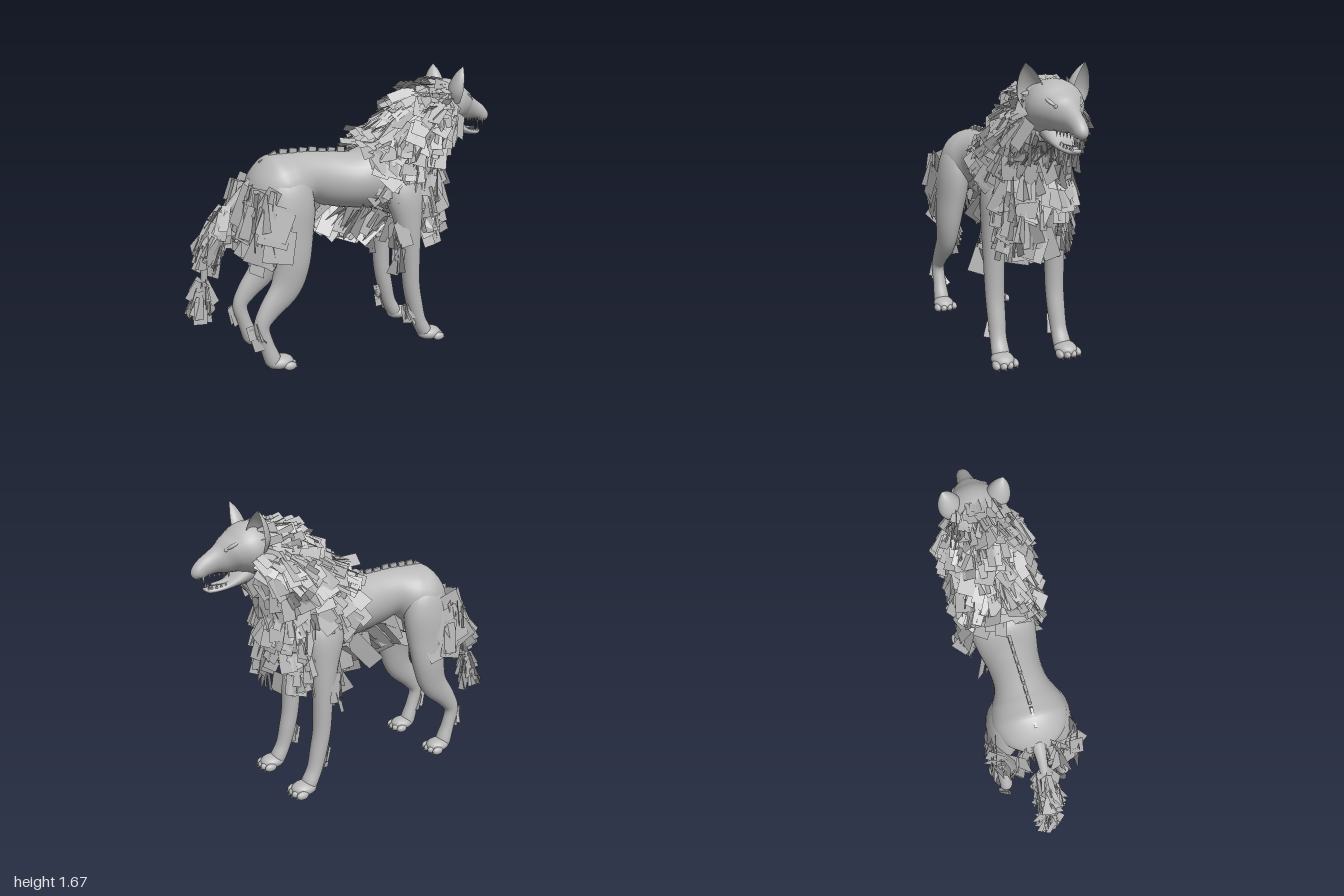
import * as THREE from 'three';

const grey = new THREE.MeshStandardMaterial({ color: 0xb8b8b8, side: THREE.DoubleSide });
grey.name = 'grey';

let seed = 7;
const rand = () => (seed = (seed * 16807) % 2147483647) / 2147483647;
const spread = (r) => (rand() * 2 - 1) * r;

// Rows are [x, y, z, half depth, half width] along a path in the side plane
function sampler(rows, s = 1) {
  const path = new THREE.CatmullRomCurve3(rows.map((r) => new THREE.Vector3(r[0], r[1], r[2] * s)), false, 'catmullrom');
  const size = new THREE.CatmullRomCurve3(rows.map((r) => new THREE.Vector3(r[3], r[4], 0)), false, 'catmullrom');
  return (t, angle) => {
    const c = path.getPoint(t), q = size.getPoint(t), d = path.getTangent(t);
    const l = Math.hypot(d.x, d.y) || 1;
    const n = new THREE.Vector3(-d.y / l, d.x / l, 0);
    const p = c.clone().addScaledVector(n, Math.cos(angle) * q.x);
    p.z += Math.sin(angle) * q.y;
    const out = n.multiplyScalar(Math.cos(angle) * q.y);
    out.z += Math.sin(angle) * q.x;
    return { c, p, out: out.normalize() };
  };
}

function toMesh(name, pos, idx, parent) {
  const g = new THREE.BufferGeometry();
  g.setAttribute('position', new THREE.Float32BufferAttribute(pos, 3));
  g.setIndex(idx);
  g.computeVertexNormals();
  const m = new THREE.Mesh(g, grey);
  m.name = name;
  parent.add(m);
}

// Smooth closed body through oval cross-sections
function loft(parent, name, rows, s = 1, sides = 24) {
  const at = sampler(rows, s), steps = (rows.length - 1) * 5, pos = [], idx = [];
  for (let i = 0; i <= steps; i++)
    for (let j = 0; j < sides; j++) pos.push(...at(i / steps, (j / sides) * Math.PI * 2).p.toArray());
  const first = pos.length / 3;
  pos.push(...at(0, 0).c.toArray(), ...at(1, 0).c.toArray());
  for (let j = 0; j < sides; j++) {
    const k = (j + 1) % sides, e = steps * sides;
    for (let i = 0; i < steps; i++) {
      const a = i * sides + j, b = i * sides + k;
      idx.push(a, b, a + sides, b, b + sides, a + sides);
    }
    idx.push(first, k, j, first + 1, e + j, e + k);
  }
  toMesh(name, pos, idx, parent);
}

// Flat fur cards rooted on a guide body, combed along a flow direction
function fur(parent, name, rows, o) {
  const at = sampler(rows, o.s || 1), pos = [], idx = [];
  const flow = new THREE.Vector3(...o.flow).normalize();
  for (let i = 0; i < o.count; i++) {
    const { p, out } = at(rand(), (o.mid || 0) + spread(o.arc || Math.PI));
    const dir = flow.clone().addScaledVector(out, -flow.dot(out)).normalize();
    dir.applyAxisAngle(out, spread(0.5)).addScaledVector(out, o.lift * (0.4 + rand())).normalize();
    const side = new THREE.Vector3().crossVectors(out, dir).normalize().applyAxisAngle(dir, spread(o.twist || 0.7));
    const w = o.width * (0.35 + rand() * 0.3), len = o.length * (0.65 + rand() * 0.55);
    const root = p.addScaledVector(out, -0.005), tip = root.clone().addScaledVector(dir, len);
    for (const [c, k] of [[root, -w], [root, w], [tip, w], [tip, -w]])
      pos.push(...c.clone().addScaledVector(side, k).toArray());
    idx.push(i * 4, i * 4 + 1, i * 4 + 2, i * 4, i * 4 + 2, i * 4 + 3);
  }
  toMesh(name, pos, idx, parent);
}

function put(parent, name, geo, p, scale = [1, 1, 1], rot = [0, 0, 0]) {
  const m = new THREE.Mesh(geo, grey);
  m.name = name;
  m.position.set(...p);
  m.scale.set(...scale);
  m.rotation.set(...rot);
  parent.add(m);
}
const ball = new THREE.SphereGeometry(1, 16, 12);
const spike = new THREE.ConeGeometry(1, 1, 6);

// Paw with four toes and claws
function paw(parent, x, z) {
  put(parent, 'paw', ball, [x, 0.043, z], [0.078, 0.042, 0.064]);
  for (let i = 0; i < 4; i++) {
    const k = i - 1.5, tx = x + 0.058 - Math.abs(k) * 0.012, tz = z + k * 0.037;
    put(parent, 'toe', ball, [tx, 0.028, tz], [0.038, 0.025, 0.021]);
    put(parent, 'claw', spike, [tx + 0.04, 0.016, tz], [0.008, 0.026, 0.008], [0, 0, -1.9]);
  }
}

export function createModel() {
  const wolf = new THREE.Group();
  wolf.name = 'wolf';

  // Torso and neck
  loft(wolf, 'torso', [[-0.62, 0.97, 0, 0.03, 0.04], [-0.54, 0.985, 0, 0.135, 0.16], [-0.43, 1.01, 0, 0.195, 0.215],
    [-0.33, 1.04, 0, 0.172, 0.2], [-0.23, 1.06, 0, 0.148, 0.152], [-0.1, 1.04, 0, 0.16, 0.15], [0.05, 1.02, 0, 0.17, 0.178],
    [0.2, 1.03, 0, 0.205, 0.2], [0.35, 1.02, 0, 0.24, 0.2], [0.47, 0.97, 0, 0.21, 0.18], [0.59, 0.93, 0, 0.1, 0.09]], 1, 32);
  loft(wolf, 'neck', [[0.25, 1.06, 0, 0.17, 0.16], [0.4, 1.19, 0, 0.19, 0.17], [0.52, 1.32, 0, 0.17, 0.16],
    [0.62, 1.41, 0, 0.14, 0.14]]);

  // Bony ridge along the back
  const ridge = new THREE.BoxGeometry(0.045, 0.035, 0.016);
  for (let i = 0; i < 9; i++)
    put(wolf, 'spineBump', ridge, [-0.5 + i * 0.06, [1.165, 1.2][i] || 1.215 - (i > 5) * 0.012, 0], [1, 1, 1], [0, 0, i < 2 ? 0.5 : -0.15]);

  // Head with open jaw
  const head = new THREE.Group();
  head.name = 'head';
  wolf.add(head);
  loft(head, 'skull', [[0.55, 1.42, 0, 0.1, 0.1], [0.63, 1.44, 0, 0.14, 0.145], [0.71, 1.445, 0, 0.143, 0.155],
    [0.78, 1.432, 0, 0.108, 0.125], [0.835, 1.413, 0, 0.086, 0.082], [0.89, 1.397, 0, 0.063, 0.054],
    [0.945, 1.373, 0, 0.05, 0.043], [0.982, 1.343, 0, 0.038, 0.036], [0.994, 1.32, 0, 0.012, 0.015]]);
  loft(head, 'lowerJaw', [[0.7, 1.33, 0, 0.06, 0.085], [0.78, 1.288, 0, 0.035, 0.07], [0.85, 1.26, 0, 0.02, 0.052],
    [0.92, 1.25, 0, 0.016, 0.036], [0.95, 1.26, 0, 0.008, 0.018]]);
  loft(head, 'tongue', [[0.76, 1.31, 0, 0.012, 0.035], [0.84, 1.285, 0, 0.01, 0.03], [0.91, 1.278, 0, 0.005, 0.016]], 1, 12);
  put(head, 'nose', ball, [0.97, 1.37, 0], [0.024, 0.02, 0.03]);

  const earProfile = new THREE.SplineCurve([[0.055, 0], [0.072, 0.06], [0.062, 0.12], [0.036, 0.175], [0.002, 0.215]]
    .map((p) => new THREE.Vector2(...p))).getPoints(12);
  const earShell = new THREE.LatheGeometry(earProfile, 18, Math.PI * 0.9, Math.PI * 1.2);
  for (const s of [1, -1]) {
    put(head, 'ear', earShell, [0.69, 1.46, s * 0.118], [0.85, 1, 0.95], [s * 0.2, -s * 0.4, -0.08]);
    put(head, 'eye', ball, [0.838, 1.463, s * 0.064], [0.014, 0.011, 0.014]);
    put(head, 'brow', ball, [0.805, 1.484, s * 0.068], [0.045, 0.013, 0.032], [0, s * 0.5, -0.5]);
    put(head, 'upperFang', spike, [0.96, 1.305, s * 0.026], [0.008, 0.055, 0.008], [Math.PI, 0, 0]);
    put(head, 'lowerFang', spike, [0.93, 1.28, s * 0.022], [0.007, 0.045, 0.007]);
    for (let i = 0; i < 5; i++) {
      const x = 0.83 + i * 0.024;
      put(head, 'upperTooth', spike, [x, 1.33 - i * 0.001, s * (0.054 - i * 0.006)], [0.007, 0.028, 0.006], [Math.PI, 0, 0]);
      put(head, 'lowerTooth', spike, [x - 0.01, 1.28 - i * 0.002, s * (0.047 - i * 0.005)], [0.007, 0.022, 0.006]);
    }
  }

  for (const s of [1, -1]) {
    // Legs
    loft(wolf, 'frontLeg', [[0.3, 1.12, 0.11, 0.08, 0.06], [0.32, 0.95, 0.155, 0.12, 0.085], [0.34, 0.76, 0.18, 0.085, 0.07],
      [0.355, 0.56, 0.187, 0.06, 0.06], [0.365, 0.38, 0.187, 0.053, 0.055], [0.39, 0.25, 0.187, 0.05, 0.052],
      [0.42, 0.14, 0.19, 0.045, 0.048], [0.46, 0.06, 0.192, 0.045, 0.052], [0.475, 0.02, 0.192, 0.03, 0.04]], s);
    loft(wolf, 'hindLeg', [[-0.42, 1.17, 0.07, 0.04, 0.04], [-0.41, 1.07, 0.12, 0.12, 0.085], [-0.4, 0.94, 0.145, 0.145, 0.097],
      [-0.41, 0.78, 0.16, 0.14, 0.09], [-0.41, 0.62, 0.18, 0.11, 0.075], [-0.45, 0.48, 0.185, 0.092, 0.058],
      [-0.55, 0.36, 0.188, 0.064, 0.045], [-0.6, 0.27, 0.19, 0.046, 0.04], [-0.575, 0.16, 0.19, 0.042, 0.042],
      [-0.54, 0.06, 0.19, 0.048, 0.05], [-0.53, 0.02, 0.19, 0.03, 0.04]], s);
    paw(wolf, 0.495, s * 0.196);
    paw(wolf, -0.495, s * 0.192);

    // Fur on the limbs
    fur(wolf, 'thighFur', [[-0.49, 1.05, 0.12, 0.12, 0.1], [-0.5, 0.92, 0.145, 0.14, 0.105], [-0.47, 0.77, 0.16, 0.12, 0.088]],
      { s, count: 44, flow: [-0.2, -1, 0], lift: 0.08, length: 0.19, width: 0.16, twist: 0.3, mid: Math.PI, arc: 2 });
    fur(wolf, 'elbowFur', [[0.3, 0.78, 0.18, 0.05, 0.055], [0.31, 0.6, 0.185, 0.045, 0.05]],
      { s, count: 12, flow: [-0.1, -1, 0], lift: 0.1, length: 0.15, width: 0.1, mid: Math.PI, arc: 1.2 });
    fur(wolf, 'hockFur', [[-0.64, 0.29, 0.19, 0.03, 0.02], [-0.61, 0.21, 0.19, 0.035, 0.02]],
      { s, count: 8, flow: [0.5, -1, 0], lift: 0.1, length: 0.1, width: 0.05, twist: 1.5, mid: Math.PI, arc: 0.7 });
    fur(wolf, 'wristFur', [[0.345, 0.28, 0.187, 0.03, 0.02], [0.37, 0.2, 0.187, 0.035, 0.02]],
      { s, count: 8, flow: [0.5, -1, 0], lift: 0.1, length: 0.1, width: 0.05, twist: 1.5, mid: Math.PI, arc: 0.7 });
  }

  // Mane, face ruff, crown, chest and belly fur
  fur(wolf, 'mane', [[0.17, 1.08, 0, 0.165, 0.18], [0.3, 1.12, 0, 0.22, 0.205], [0.42, 1.21, 0, 0.225, 0.215],
    [0.52, 1.335, 0, 0.195, 0.22], [0.61, 1.41, 0, 0.16, 0.19]],
  { count: 430, flow: [-0.5, -0.85, 0], lift: 0.4, length: 0.14, width: 0.095 });
  fur(wolf, 'faceRuff', [[0.6, 1.38, 0, 0.15, 0.18], [0.72, 1.395, 0, 0.14, 0.15]],
    { count: 130, flow: [-0.6, -0.7, 0], lift: 0.55, length: 0.13, width: 0.06, mid: Math.PI, arc: 2.1 });
  fur(wolf, 'crownFur', [[0.5, 1.42, 0, 0.13, 0.17], [0.7, 1.45, 0, 0.14, 0.15]],
    { count: 100, flow: [-1, -0.2, 0], lift: 0.35, length: 0.1, width: 0.06, arc: 1.8 });
  fur(wolf, 'chestFur', [[0.45, 1.15, 0, 0.14, 0.18], [0.475, 0.95, 0, 0.15, 0.195], [0.46, 0.74, 0, 0.14, 0.175]],
    { count: 190, flow: [0, -1, 0], lift: 0.22, length: 0.15, width: 0.095 });
  fur(wolf, 'bellyFur', [[-0.2, 0.97, 0, 0.06, 0.09], [0.05, 0.92, 0, 0.09, 0.12], [0.3, 0.87, 0, 0.13, 0.15]],
    { count: 60, flow: [-0.4, -0.7, 0], lift: 0.9, length: 0.19, width: 0.13, mid: Math.PI, arc: 1.1 });

  // Tail with two fur tufts
  loft(wolf, 'tail', [[-0.55, 1.05, 0, 0.05, 0.05], [-0.66, 0.97, 0, 0.03, 0.03], [-0.77, 0.84, 0, 0.025, 0.025],
    [-0.85, 0.65, 0, 0.022, 0.022], [-0.87, 0.48, 0, 0.018, 0.018], [-0.89, 0.35, 0, 0.01, 0.01]], 1, 12);
  fur(wolf, 'upperTailFur', [[-0.7, 0.93, 0, 0.035, 0.03], [-0.76, 0.84, 0, 0.06, 0.055], [-0.81, 0.75, 0, 0.065, 0.065],
    [-0.84, 0.67, 0, 0.055, 0.06]],
  { count: 80, flow: [-0.4, -1, 0], lift: 0.05, length: 0.13, width: 0.07, twist: 0.4 });
  fur(wolf, 'tailTipFur', [[-0.87, 0.53, 0, 0.015, 0.02], [-0.88, 0.46, 0, 0.04, 0.04], [-0.9, 0.37, 0, 0.06, 0.06]],
    { count: 34, flow: [-0.08, -1, 0], lift: 0.08, length: 0.14, width: 0.07, twist: 0.3 });

  return wolf;
}
